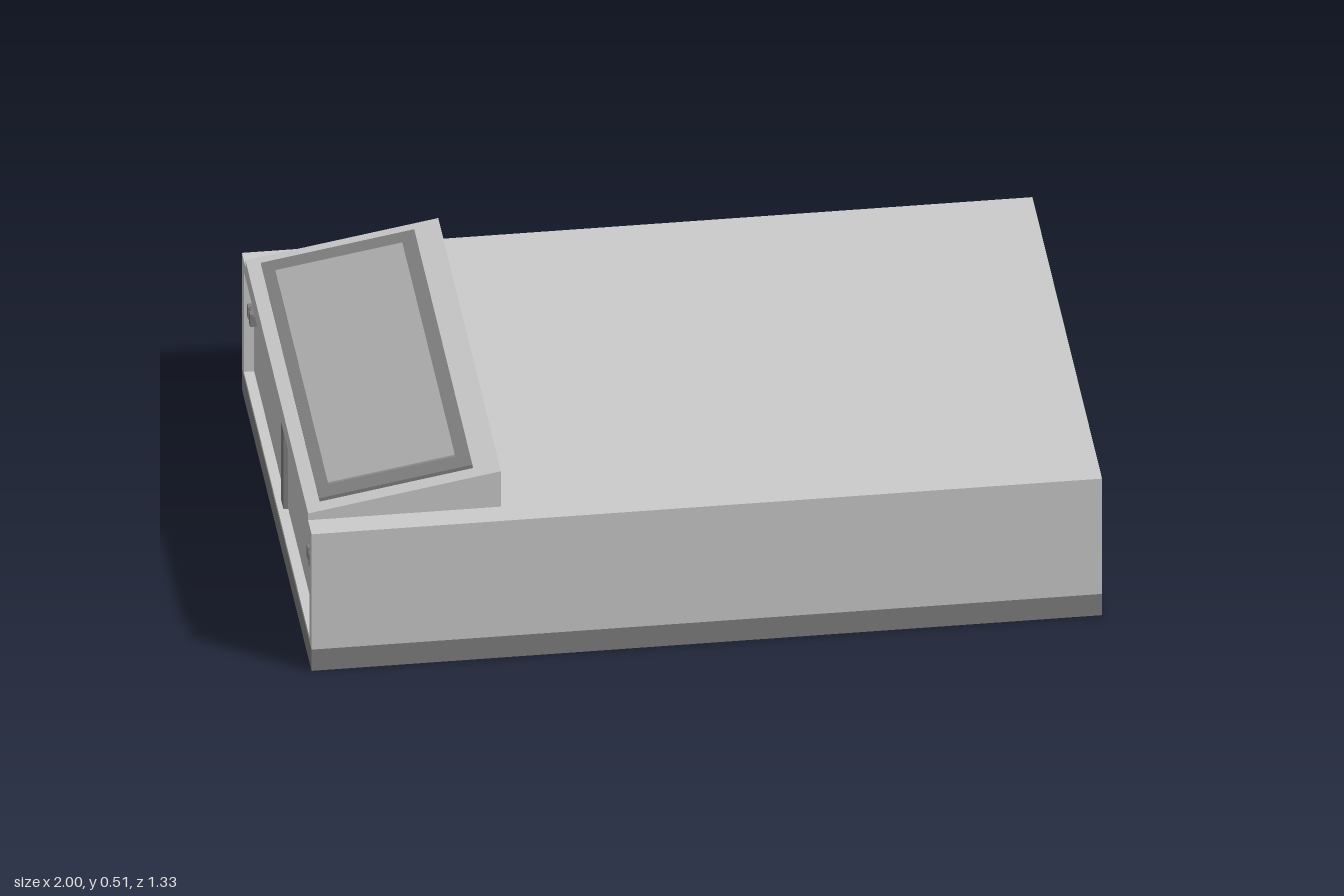
import * as THREE from 'three';

const grey = new THREE.MeshStandardMaterial({ color: 0xcccccc });
const dark = new THREE.MeshStandardMaterial({ color: 0x808080 });
const pane = new THREE.MeshStandardMaterial({ color: 0xaeaeae });

function add(parent, name, geometry, material, x = 0, y = 0, z = 0) {
  const mesh = new THREE.Mesh(geometry, material);
  mesh.name = name;
  mesh.position.set(x, y, z);
  parent.add(mesh);
  return mesh;
}
const box = (w, h, d) => new THREE.BoxGeometry(w, h, d);

function rect(target, x0, y0, x1, y1) {
  target.moveTo(x0, y0);
  target.lineTo(x1, y0);
  target.lineTo(x1, y1);
  target.lineTo(x0, y1);
  target.closePath();
  return target;
}

// Rectangular ring in the xy plane, extruded along +z
function ring(outer, inner, depth) {
  const shape = rect(new THREE.Shape(), ...outer);
  shape.holes.push(rect(new THREE.Path(), ...inner));
  return new THREE.ExtrudeGeometry(shape, { depth, bevelEnabled: false });
}

export function createModel() {
  const model = new THREE.Group();
  model.name = 'building';
  const halfZ = 0.667, baseTop = 0.063, roofY = 0.405, recess = 0.03;
  const height = roofY - baseTop;

  // Plinth and main block
  add(model, 'plinth', box(2, baseTop, halfZ * 2), dark, 0, baseTop / 2);
  add(model, 'mainBlock', box(2 - recess, height, halfZ * 2), grey, recess / 2, baseTop + height / 2);

  // End wall surround with the recessed sliding doors
  const surround = ring([-halfZ, baseTop, halfZ, roofY], [-0.63, 0.075, 0.63, 0.372], recess);
  surround.rotateY(-Math.PI / 2);
  add(model, 'doorSurround', surround, grey, -1 + recess);

  const doors = new THREE.Group();
  doors.name = 'slidingDoors';
  model.add(doors);
  add(doors, 'centrePost', box(0.016, 0.297, 0.045), dark, -0.978, 0.2235, 0);
  for (const side of [-1, 1]) {
    add(doors, 'doorPanel', box(0.006, 0.285, 0.6), grey, -0.972, 0.2235, side * 0.325);
    // Handle: back plate with two small grips
    const handle = new THREE.Group();
    handle.name = 'doorHandle';
    handle.position.set(-0.983, 0.28, side * 0.57);
    doors.add(handle);
    add(handle, 'handlePlate', box(0.016, 0.03, 0.06), dark);
    for (const s of [-1, 1]) add(handle, 'handleGrip', box(0.01, 0.036, 0.018), dark, -0.008, 0, s * 0.018);
  }

  // Sloping roof wedge
  const low = 0.425, high = 0.51, wedgeEnd = -0.512;
  const profile = new THREE.Shape();
  profile.moveTo(-1, roofY);
  profile.lineTo(wedgeEnd, roofY);
  profile.lineTo(wedgeEnd, high);
  profile.lineTo(-1, low);
  profile.closePath();
  const wedge = new THREE.ExtrudeGeometry(profile, { depth: 1.2, bevelEnabled: false });
  add(model, 'roofWedge', wedge, grey, 0, 0, -0.6);

  // Framed skylight lying on the slope
  const slope = Math.atan2(high - low, wedgeEnd + 1);
  const cx = -0.77;
  const skylight = new THREE.Group();
  skylight.name = 'skylight';
  skylight.position.set(cx, low + (cx + 1) * Math.tan(slope), 0);
  skylight.rotation.z = slope;
  model.add(skylight);
  const frame = ring([-0.198, -0.558, 0.196, 0.558], [-0.167, -0.503, 0.159, 0.503], 0.01);
  frame.rotateX(-Math.PI / 2);
  add(skylight, 'skylightFrame', frame, dark);
  add(skylight, 'skylightPane', box(0.326, 0.015, 1.006), pane, -0.004, 0.0075);

  return model;
}
